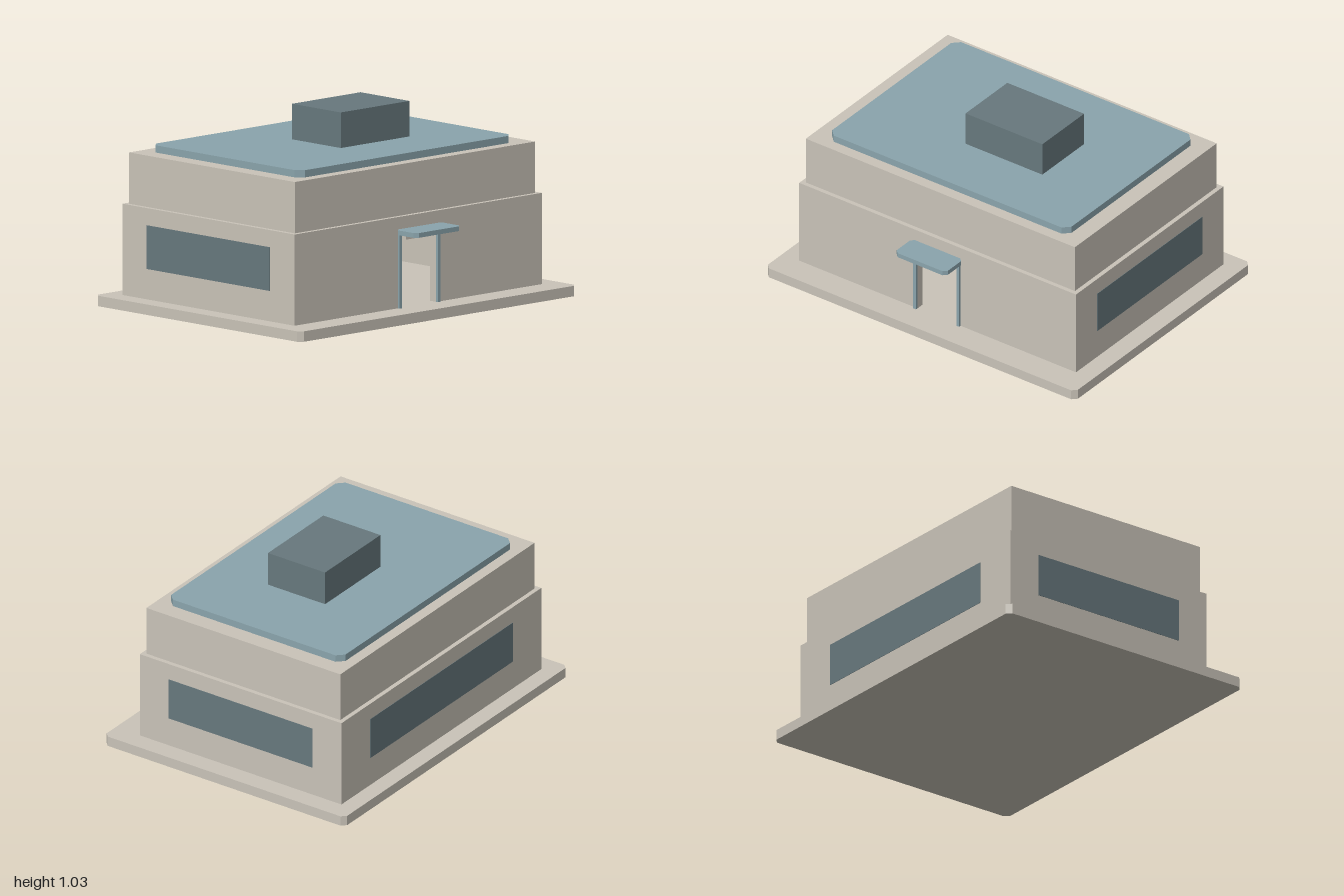
import * as THREE from 'three';

const mat = (name, color) => Object.assign(new THREE.MeshStandardMaterial({ color }), { name });

export function createModel() {
  const stone = mat('stone', 0xc9c3b8);
  const blue = mat('bluePanel', 0x8aa4ac);
  const slate = mat('slate', 0x67787d);
  const model = new THREE.Group();
  model.name = 'building';

  // Box given by its lower and upper corners
  function box(name, material, [x0, y0, z0], [x1, y1, z1], parent = model) {
    const mesh = new THREE.Mesh(new THREE.BoxGeometry(x1 - x0, y1 - y0, z1 - z0), material);
    mesh.position.set((x0 + x1) / 2, (y0 + y1) / 2, (z0 + z1) / 2);
    mesh.name = name;
    parent.add(mesh);
    return mesh;
  }

  // Flat slab with cut corners, symmetric in z
  function slab(name, material, x0, x1, z, y0, y1, c) {
    const shape = new THREE.Shape([
      [x0 + c, -z], [x1 - c, -z], [x1, -z + c], [x1, z - c],
      [x1 - c, z], [x0 + c, z], [x0, z - c], [x0, -z + c],
    ].map(([a, b]) => new THREE.Vector2(a, b)));
    const geo = new THREE.ExtrudeGeometry(shape, { depth: y1 - y0, bevelEnabled: false });
    geo.rotateX(-Math.PI / 2).translate(0, y0, 0);
    const mesh = new THREE.Mesh(geo, material);
    mesh.name = name;
    model.add(mesh);
  }

  // Front, back and left walls of a hollow storey
  const t = 0.045;
  function walls(name, x0, x1, z, y0, y1) {
    const group = new THREE.Group();
    group.name = name;
    model.add(group);
    box('frontWall', stone, [x0, y0, z - t], [x1, y1, z], group);
    box('backWall', stone, [x0, y0, -z], [x1, y1, -z + t], group);
    box('sideWall', stone, [x0, y0, -z + t], [x0 + t, y1, z - t], group);
    return group;
  }

  slab('basePlinth', stone, -0.765, 0.765, 1, 0, 0.055, 0.025);

  // Lower storey with an open doorway in the +x wall
  const X0 = -0.67, X1 = 0.612, Z = 0.893, Y0 = 0.055, Y1 = 0.535, door = 0.13, doorTop = 0.42;
  const lower = walls('lowerStorey', X0, X1, Z, Y0, Y1);
  box('doorWallFront', stone, [X1 - t, Y0, door], [X1, Y1, Z - t], lower);
  box('doorWallBack', stone, [X1 - t, Y0, -Z + t], [X1, Y1, -door], lower);
  box('doorHeader', stone, [X1 - t, doorTop, -door], [X1, Y1, door], lower);

  // Upper storey, stepped in, closed by a roof deck
  const upper = walls('upperStorey', -0.645, 0.588, 0.868, Y1, 0.805);
  box('sideWall', stone, [0.588 - t, Y1, -0.868 + t], [0.588, 0.805, 0.868 - t], upper);
  box('roofDeck', stone, [-0.645 + t, 0.765, -0.868 + t], [0.588 - t, 0.805, 0.868 - t], upper);

  // Roof panel and rooftop unit
  slab('roofPanel', blue, -0.583, 0.525, 0.772, 0.805, 0.843, 0.037);
  box('rooftopUnit', slate, [-0.183, 0.843, -0.355], [0.18, 1.03, 0.14]);

  // Windows on the front, back and -x walls
  const e = 0.002, w0 = 0.215, w1 = 0.445;
  box('frontWindow', slate, [-0.487, w0, Z - e], [0.429, w1, Z + e]);
  box('backWindow', slate, [-0.487, w0, -Z - e], [0.429, w1, -Z + e]);
  box('sideWindow', slate, [X0 - e, w0, -0.638], [X0 + e, w1, 0.638]);

  // Door canopy, lintel and posts
  slab('doorCanopy', blue, X1 - 0.002, 0.765, 0.165, 0.445, 0.47, 0.02);
  box('doorLintel', stone, [X1, doorTop, -door], [0.656, 0.445, door]);
  for (const s of [-1, 1]) {
    const a = s * door, b = s * 0.148;
    box('doorPost', blue, [X1 - 0.002, Y0, Math.min(a, b)], [0.625, 0.445, Math.max(a, b)]);
  }
  return model;
}
